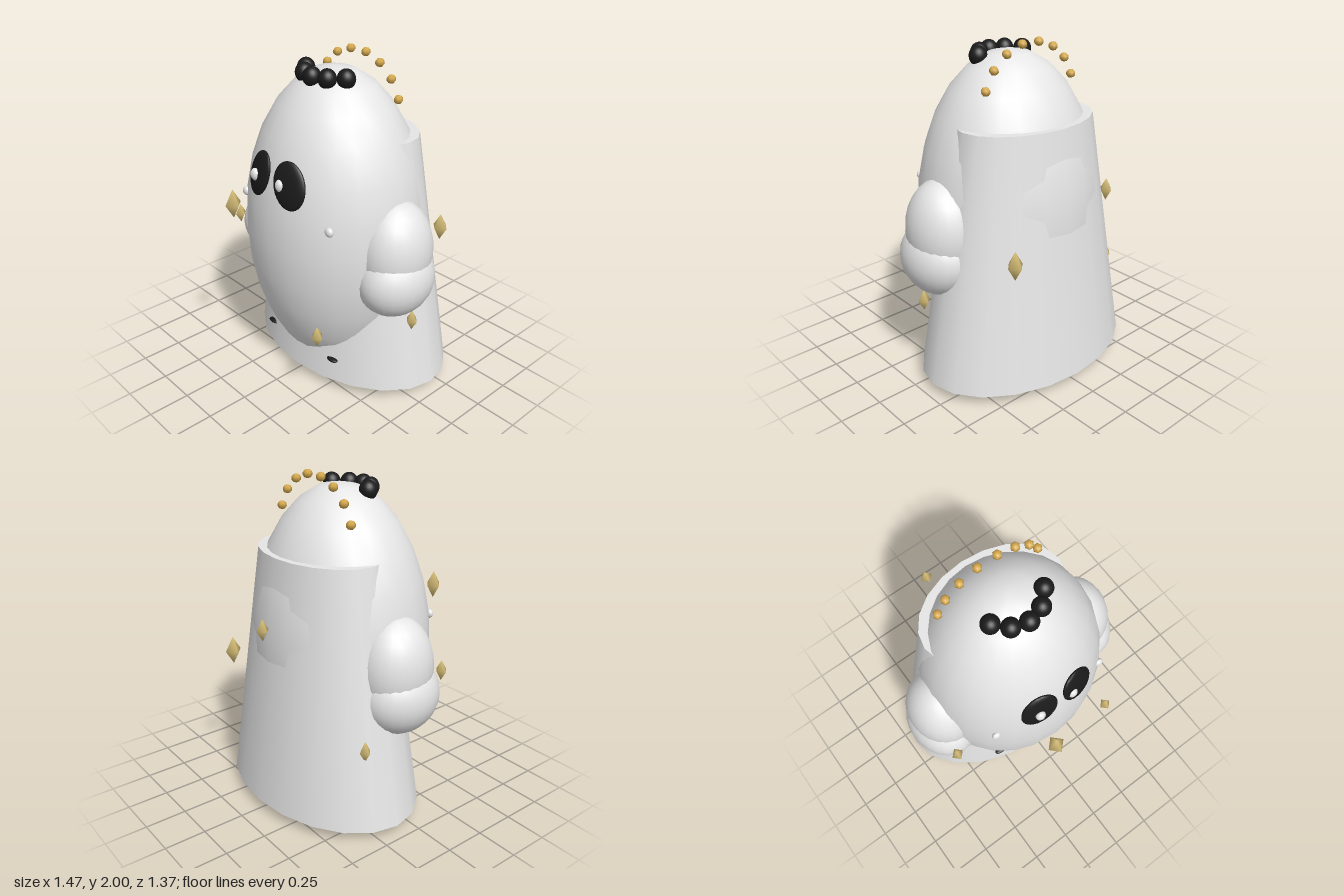
import * as THREE from 'three';

const paint = (name, color) => {
  const m = new THREE.MeshStandardMaterial({ color });
  m.name = name;
  return m;
};

export function createModel() {
  const white = paint('white', 0xe6e6e6);
  const black = paint('black', 0x1a1a1a);
  const gold = paint('gold', 0xd4a84b);
  const paleGold = paint('pale gold', 0xd8c078);

  const model = new THREE.Group();
  model.name = 'capedGhost';

  const add = (name, geometry, material, pos, scale = [1, 1, 1], rot = [0, 0, 0]) => {
    const mesh = new THREE.Mesh(geometry, material);
    mesh.name = name;
    mesh.position.set(...pos);
    mesh.scale.set(...scale);
    mesh.rotation.set(...rot, 'YXZ');
    model.add(mesh);
    return mesh;
  };

  const ball = new THREE.SphereGeometry(1, 24, 14);
  const bead = new THREE.SphereGeometry(1, 6, 5);
  const gem = new THREE.SphereGeometry(1, 4, 2);

  // Egg-shaped body
  add('body', ball, white, [0, 0.962, 0], [0.57, 0.962, 0.52]);

  // Flared closed cloak, oval in plan and set back from the body
  const cloak = new THREE.CylinderGeometry(0.635, 1, 1.487, 20);
  add('cloak', cloak, white, [0, 0.8065, -0.14], [0.715, 1, 0.485]);

  for (const s of [-1, 1]) {
    const side = s > 0 ? 'left' : 'right';
    // Two-part arms
    add(side + 'UpperArm', ball, white, [s * 0.5, 0.955, 0], [0.21, 0.305, 0.232]);
    add(side + 'LowerArm', ball, white, [s * 0.53, 0.79, 0.015], [0.207, 0.228, 0.25]);
    // Leaning oval eyes lying on the face
    add(side + 'Eye', ball, black, [s * 0.128, 1.36, 0.455], [0.106, 0.138, 0.027],
      [-0.22, s * 0.24, s * 0.28]);
    // Cheek buttons and the small dark toes showing through the cloak
    add(side + 'Cheek', ball, white, [s * 0.37, 1.147, 0.385], [0.028, 0.028, 0.02]);
    add(side + 'Toe', ball, black, [s * 0.283, 0.205, 0.285], [0.042, 0.012, 0.022]);
  }

  // Eye highlights, both shifted to the same side
  for (const x of [-0.14, 0.08]) {
    add('eyeHighlight', ball, white, [x, 1.355, 0.482], [0.03, 0.037, 0.025]);
  }

  // Curved row of hair curls
  for (const [x, z] of [[-0.166, 0.071], [-0.095, 0.146], [0, 0.174], [0.095, 0.146], [0.166, 0.071]]) {
    add('hairCurl', ball, black, [x, 1.888, z], [0.053, 0.057, 0.053]);
  }

  // Arch of beads behind the head
  for (const [x, y] of [[0.061, 1.975], [0.172, 1.935], [0.263, 1.86], [0.322, 1.757]]) {
    for (const s of [-1, 1]) add('haloBead', bead, gold, [s * x, y, -0.178], [0.028, 0.026, 0.028]);
  }

  // Ring of floating gems
  [0.548, 0.548, 1.22, 0.884, 0.548, 1.22, 0.884].forEach((y, i) => {
    const a = (i / 7) * Math.PI * 2;
    const r = i % 4 === 2 ? 0.052 : 0.038;
    add('floatingGem', gem, paleGold, [0.656 * Math.cos(a), y, 0.656 * Math.sin(a)], [r, r * 1.67, r]);
  });

  return model;
}
